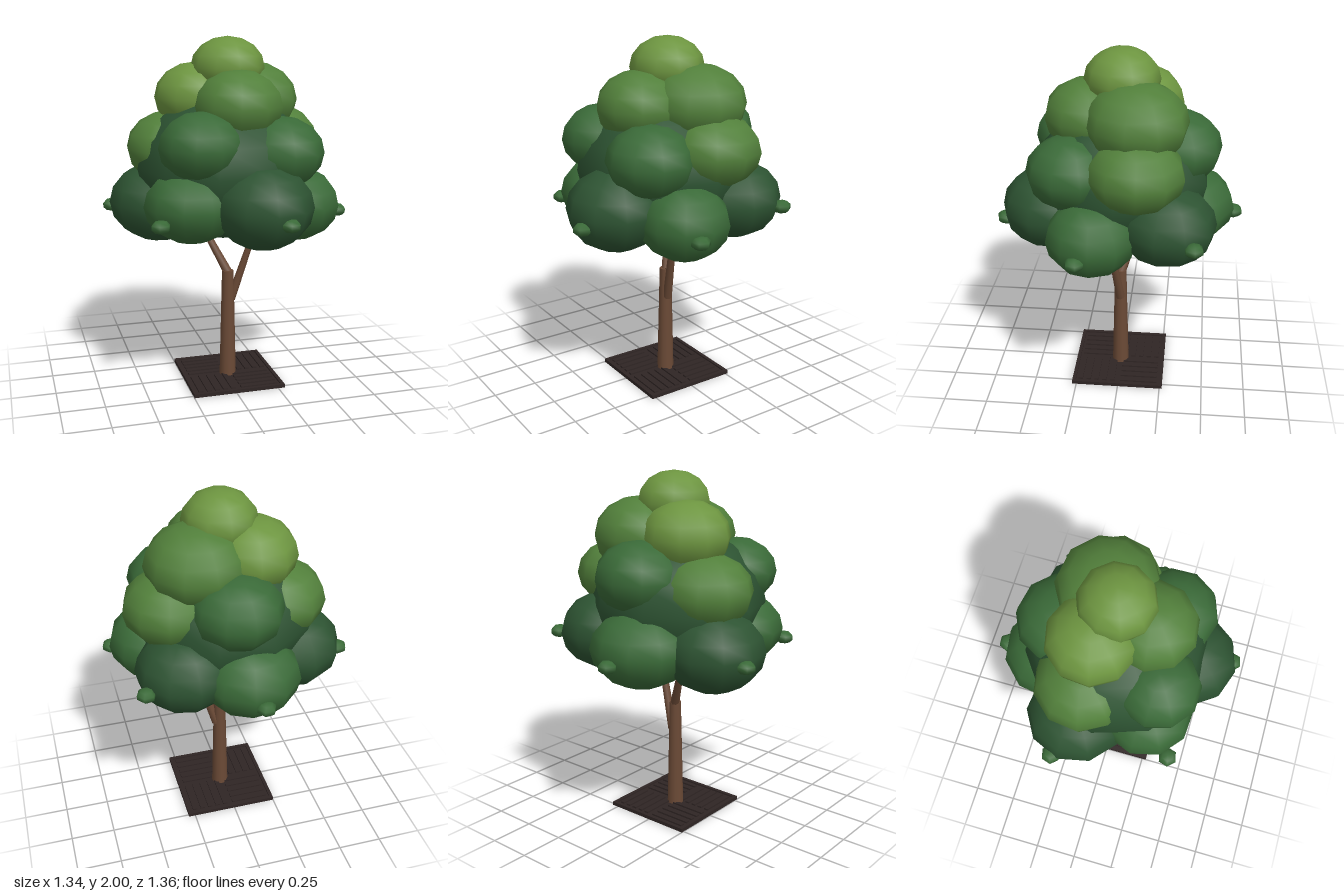
import * as THREE from 'three';

const mat = (color) => new THREE.MeshStandardMaterial({ color, roughness: 1 });

export function createModel() {
  const tree = new THREE.Group();
  tree.name = 'tree';

  const bark = mat(0x6b4a36);
  const iron = mat(0x2f2524);
  const lime = mat(0x6d9540);
  const light = mat(0x52803b);
  const mid = mat(0x3a6a38);
  const dark = mat(0x2d5332);
  const CX = 0.02, CZ = 0.005; // trunk axis

  const add = (name, geometry, material, x = 0, y = 0, z = 0, parent = tree) => {
    const mesh = new THREE.Mesh(geometry, material);
    mesh.name = name;
    mesh.position.set(x, y, z);
    parent.add(mesh);
    return mesh;
  };

  // Square ground grate with a round hole for the trunk
  const grate = new THREE.Group();
  grate.name = 'groundGrate';
  grate.position.set(CX, 0, CZ);
  tree.add(grate);
  const S = 0.27;
  const square = new THREE.Shape([
    new THREE.Vector2(-S, -S), new THREE.Vector2(S, -S),
    new THREE.Vector2(S, S), new THREE.Vector2(-S, S),
  ]);
  square.holes.push(new THREE.Path().absarc(0, 0, 0.05, 0, Math.PI * 2, true));
  const plate = new THREE.ExtrudeGeometry(square, { depth: 0.012, bevelEnabled: false, curveSegments: 12 });
  add('gratePlate', plate.rotateX(-Math.PI / 2), iron, 0, 0, 0, grate);

  // Raised rim and slats, their direction alternating by quadrant
  for (const s of [-1, 1]) {
    add('grateRim', new THREE.BoxGeometry(2 * S, 0.02, 0.02), iron, 0, 0.011, s * (S - 0.01), grate);
    add('grateRim', new THREE.BoxGeometry(0.02, 0.02, 2 * S - 0.04), iron, s * (S - 0.01), 0.011, 0, grate);
    for (const t of [-1, 1]) {
      const alongX = s * t > 0;
      for (let i = 0; i < 5; i++) {
        const off = (i - 2) * 0.048;
        const slat = new THREE.BoxGeometry(alongX ? 0.22 : 0.026, 0.01, alongX ? 0.026 : 0.22);
        add('grateSlat', slat, iron,
          s * 0.126 + (alongX ? 0 : off), 0.016, t * 0.126 + (alongX ? off : 0), grate);
      }
    }
  }

  // Trunk and two forking branches
  add('trunk', new THREE.CylinderGeometry(0.034, 0.049, 0.652, 10), bark, CX, 0.329, CZ);
  const branch = (name, from, to, r0, r1) => {
    const a = new THREE.Vector3(...from), b = new THREE.Vector3(...to);
    const dir = b.clone().sub(a);
    const mesh = add(name, new THREE.CylinderGeometry(r1, r0, dir.length(), 8), bark);
    mesh.position.copy(a).addScaledVector(dir, 0.5);
    mesh.quaternion.setFromUnitVectors(new THREE.Vector3(0, 1, 0), dir.normalize());
  };
  branch('leftBranch', [0.04, 0.48, 0.005], [0.205, 1.02, 0.065], 0.027, 0.015);
  branch('rightBranch', [0.02, 0.645, 0], [-0.15, 1.0, -0.13], 0.027, 0.014);

  // Foliage: flattened low-poly balls [material, x, y, z, radius, half height]
  const foliage = new THREE.Group();
  foliage.name = 'foliage';
  tree.add(foliage);
  const tiers = {
    foliageCore: [[dark, 0, 1.28, 0, 0.5, 0.41]],
    crownTop: [[lime, 0.02, 1.83, -0.005, 0.207, 0.17]],
    upperFoliage: [
      [light, 0.03, 1.63, 0.175, 0.247, 0.2],
      [light, 0.17, 1.64, -0.093, 0.283, 0.22],
      [lime, -0.135, 1.66, -0.09, 0.247, 0.2],
    ],
    middleFoliage: [
      [mid, -0.205, 1.43, 0.28, 0.23, 0.19],
      [mid, 0.245, 1.38, 0.25, 0.245, 0.2],
      [light, 0.315, 1.41, -0.1, 0.268, 0.205],
      [mid, 0.01, 1.45, -0.3, 0.255, 0.205],
      [light, -0.28, 1.38, -0.105, 0.265, 0.21],
    ],
    lowerFoliage: [
      [mid, -0.25, 1.11, 0.24, 0.26, 0.205],
      [dark, 0.11, 1.11, 0.385, 0.275, 0.23],
      [mid, 0.385, 1.065, 0.13, 0.25, 0.21],
      [dark, 0.29, 1.11, -0.27, 0.27, 0.22],
      [mid, -0.045, 1.08, -0.355, 0.285, 0.22],
      [dark, -0.355, 1.07, -0.125, 0.285, 0.23],
    ],
  };
  let turn = 0;
  for (const [name, blobs] of Object.entries(tiers)) {
    for (const [material, x, y, z, r, h] of blobs) {
      const ball = add(name, new THREE.SphereGeometry(1, 10, 8), material, x, y, z, foliage);
      ball.scale.set(r, h, r);
      ball.rotation.y = turn++ * 0.37;
    }
  }

  // Small leaf tufts on the outer face of each lower ball [x, y, z]
  const tufts = [
    [-0.455, 1.045, 0.42], [0.18, 1.06, 0.63], [0.615, 1.025, 0.19],
    [0.53, 1.09, -0.42], [-0.055, 1.04, -0.635], [-0.62, 1.045, -0.2],
  ];
  for (const [x, y, z] of tufts) {
    const tuft = add('leafTuft', new THREE.SphereGeometry(1, 6, 5), mid, x, y, z, foliage);
    tuft.scale.set(0.055, 0.037, 0.055);
    tuft.rotation.y = Math.atan2(x, z);
  }

  return tree;
}
